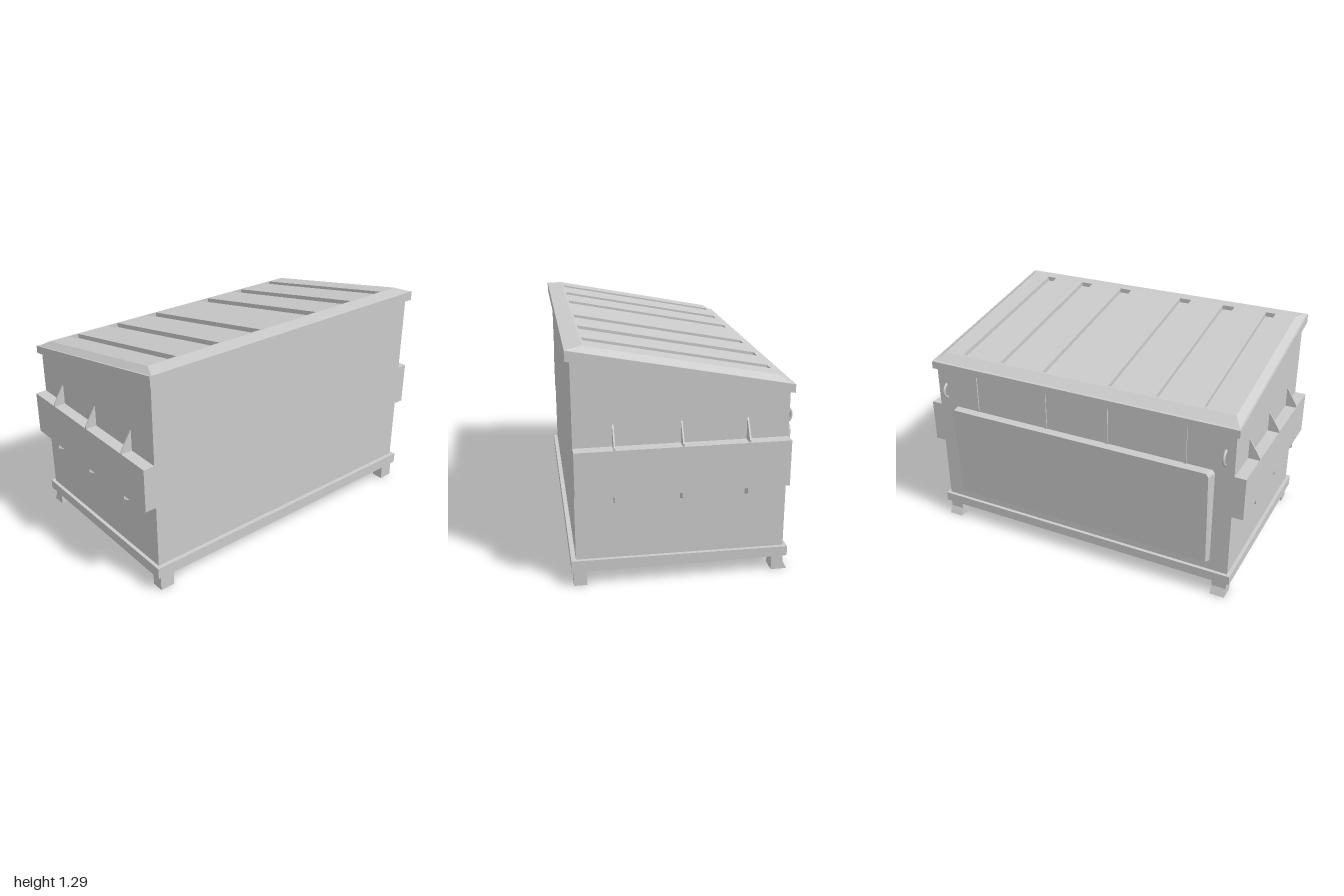
import * as THREE from 'three';
import { ConvexGeometry } from 'three/addons/geometries/ConvexGeometry.js';

const grey = new THREE.MeshStandardMaterial({ color: 0xcccccc });

// Height of the sloping lid line at depth z
const slope = (z) => 1.169 + 0.193 * z;

const toShape = (points) => new THREE.Shape(points.map(([a, b]) => new THREE.Vector2(a, b)));

// Side profile of [z, y] points, extruded along x between x0 and x1
function sideProfile(points, x0, x1) {
  const g = new THREE.ExtrudeGeometry(toShape(points), { depth: x1 - x0, bevelEnabled: false });
  return g.rotateY(-Math.PI / 2).translate(x1, 0, 0);
}

// Box given by its limits
function box(x0, x1, y0, y1, z0, z1) {
  return new THREE.BoxGeometry(x1 - x0, y1 - y0, z1 - z0)
    .translate((x0 + x1) / 2, (y0 + y1) / 2, (z0 + z1) / 2);
}

// Lean a geometry modelled flat on the lid plane onto the slope
function lean(g) {
  const p = g.attributes.position;
  for (let i = 0; i < p.count; i++) p.setY(i, p.getY(i) + slope(p.getZ(i)));
  g.computeVertexNormals();
  return g;
}

export function createModel() {
  const model = new THREE.Group();
  const add = (name, geometry, parent = model) => {
    const mesh = new THREE.Mesh(geometry, grey);
    mesh.name = name;
    parent.add(mesh);
    return mesh;
  };

  // Container body and base rim
  add('body', sideProfile([[0.575, 0.1], [0.575, slope(0.575) - 0.02],
    [-0.545, slope(-0.545) - 0.02], [-0.545, 0.1]], -0.935, 0.935));
  add('baseRim', sideProfile([[0.6, 0.09], [0.6, 0.155], [-0.565, 0.145], [-0.565, 0.09]], -0.955, 0.955));

  // Lid: sloping rim, raised grooved panel and the bevel around it
  const lid = new THREE.Group();
  lid.name = 'lid';
  model.add(lid);
  add('lidRim', sideProfile([[0.6, 1.23], [0.6, slope(0.6)], [-0.565, slope(-0.565)], [-0.565, 1.015]],
    -0.955, 0.955), lid);

  const [topX, topFront, topBack, rise] = [0.905, 0.51, -0.49, 0.026];
  const panel = toShape([[-topX, -topFront], [topX, -topFront], [topX, -topBack], [-topX, -topBack]]);
  for (const [x, w] of [[0.755, 0.06], [0.49, 0.075], [0.207, 0.075]]) {
    for (const s of [-1, 1]) {
      const [l, r] = [s * x - w / 2, s * x + w / 2];
      panel.holes.push(toShape([[l, -0.5], [l, 0.48], [r, 0.48], [r, -0.5]]));
    }
  }
  add('lidPanel', lean(new THREE.ExtrudeGeometry(panel, { depth: rise, bevelEnabled: false })
    .rotateX(-Math.PI / 2)), lid);

  const outer = [[-0.945, 0.6], [0.945, 0.6], [0.945, -0.55], [-0.945, -0.55]];
  const inner = [[-topX, topFront], [topX, topFront], [topX, topBack], [-topX, topBack]];
  const bevel = [];
  for (let i = 0; i < 4; i++) {
    const j = (i + 1) % 4;
    const a = [outer[i][0], 0, outer[i][1]], b = [outer[j][0], 0, outer[j][1]];
    const c = [inner[j][0], rise, inner[j][1]], d = [inner[i][0], rise, inner[i][1]];
    bevel.push(...a, ...b, ...c, ...a, ...c, ...d);
  }
  const bevelGeometry = new THREE.BufferGeometry();
  bevelGeometry.setAttribute('position', new THREE.Float32BufferAttribute(bevel, 3));
  add('lidBevel', lean(bevelGeometry), lid);

  // Wedge-shaped panel on the back with chamfered edges
  const wedge = [];
  for (const s of [-1, 1]) {
    for (const [x, y, z] of [[0.83, 0.205, -0.54], [0.83, 0.765, -0.54], [0.815, 0.785, -0.54],
      [0.812, 0.205, -0.57], [0.812, 0.765, -0.599], [0.8, 0.785, -0.6]]) {
      wedge.push(new THREE.Vector3(s * x, y, z));
    }
  }
  add('backPanel', new ConvexGeometry(wedge));

  for (const s of [-1, 1]) {
    const side = s > 0 ? 'left' : 'right';
    const span = (a, b) => (s > 0 ? [a, b] : [-b, -a]);

    // Fork sleeve with its gusset fins
    add(side + 'ForkSleeve', box(...span(0.93, 1), 0.525, 0.775, -0.545, 0.575));
    for (const z of [0.37, 0.02, -0.325]) {
      for (const fin of [
        [[0.93, 0.77], [1, 0.77], [1, 0.79], [0.935, 0.893], [0.93, 0.893]],
        [[0.93, 0.53], [1, 0.53], [1, 0.5], [0.935, 0.465], [0.93, 0.465]],
      ]) {
        const g = new THREE.ExtrudeGeometry(toShape(fin.map(([x, y]) => [s * x, y])),
          { depth: 0.008, bevelEnabled: false });
        add(side + 'SleeveFin', g.translate(0, 0, z - 0.004));
      }
    }

    // Feet, the rear ones flared backward
    add(side + 'FrontFoot', box(...span(0.85, 0.935), 0, 0.095, 0.52, 0.59));
    add(side + 'BackFoot', sideProfile([[-0.485, 0], [-0.485, 0.095], [-0.55, 0.095], [-0.55, 0.045],
      [-0.572, 0]], ...span(0.85, 0.935)));

    // Upright ribs and lifting ring on the back
    for (const x of [0.66, 0.195]) {
      add('backRib', box(s * x - 0.006, s * x + 0.006, 0.75, 1.05, -0.552, -0.54));
    }
    add(side + 'LiftRing', new THREE.TorusGeometry(0.046, 0.008, 10, 32)
      .rotateY(Math.PI / 2).translate(s * 0.88, 0.875, -0.527));
  }

  return model;
}
